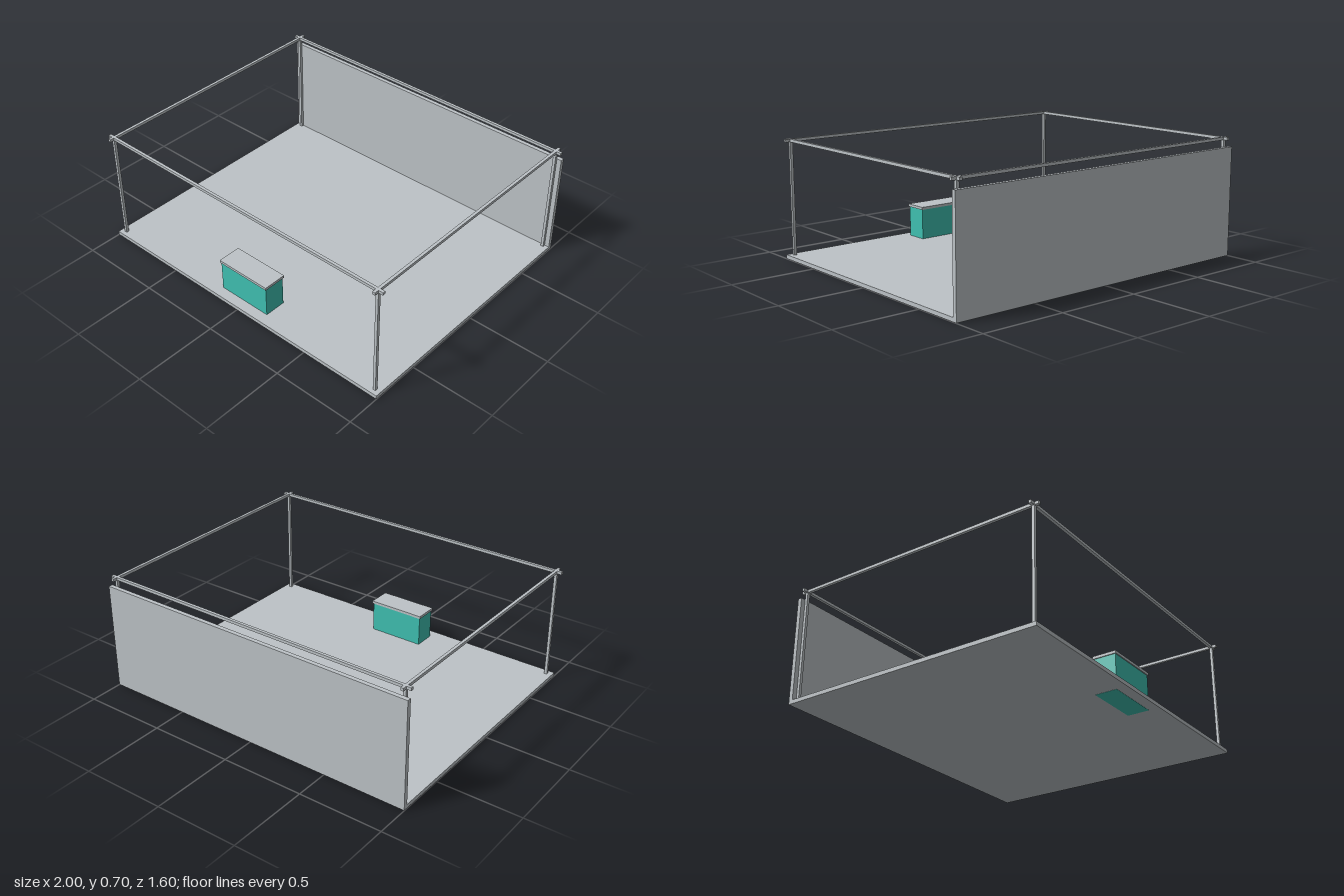
import * as THREE from 'three';

export function createModel() {
  const group = new THREE.Group();
  const grey = new THREE.MeshStandardMaterial({ color: 0xbdc3c7 });
  grey.name = 'light grey';
  const teal = new THREE.MeshStandardMaterial({ color: 0x40c1b2 });
  teal.name = 'teal';

  // Box given by its minimum and maximum on each axis
  function box(name, material, [x0, x1], [y0, y1], [z0, z1]) {
    const mesh = new THREE.Mesh(new THREE.BoxGeometry(x1 - x0, y1 - y0, z1 - z0), material);
    mesh.position.set((x0 + x1) / 2, (y0 + y1) / 2, (z0 + z1) / 2);
    mesh.name = name;
    group.add(mesh);
  }
  const around = (c, size) => [c - size / 2, c + size / 2];

  const floorTop = 0.024, bar = 0.017, postX = 0.964, postZ = 0.766, top = 0.7;

  // Floor slab and back wall
  box('floor', grey, [-1, 1], [0.001, floorTop], [-0.8, 0.8]);
  box('backWall', grey, [-1, 1], [floorTop, 0.643], [-0.8, -0.775]);

  // Corner posts
  for (const sx of [-1, 1]) {
    for (const sz of [-1, 1]) {
      const name = (sz > 0 ? 'front' : 'back') + (sx > 0 ? 'Left' : 'Right') + 'Post';
      box(name, grey, around(sx * postX, bar), [floorTop, top - bar], around(sz * postZ, bar));
    }
  }

  // Top rails, crossing and overhanging at the corners
  for (const s of [-1, 1]) {
    box(s > 0 ? 'frontRail' : 'backRail', grey, [-1, 1], [top - bar, top], around(s * postZ, bar));
    box(s > 0 ? 'leftRail' : 'rightRail', grey, around(s * postX, bar), [top - bar, top], [-0.8, 0.8]);
  }

  // Counter, let into the floor, with an overhanging top
  box('counterBody', teal, [-0.17, 0.17], [0, 0.206], [0.606, 0.736]);
  box('counterTop', grey, [-0.176, 0.176], [0.206, 0.222], [0.6, 0.742]);

  return group;
}
